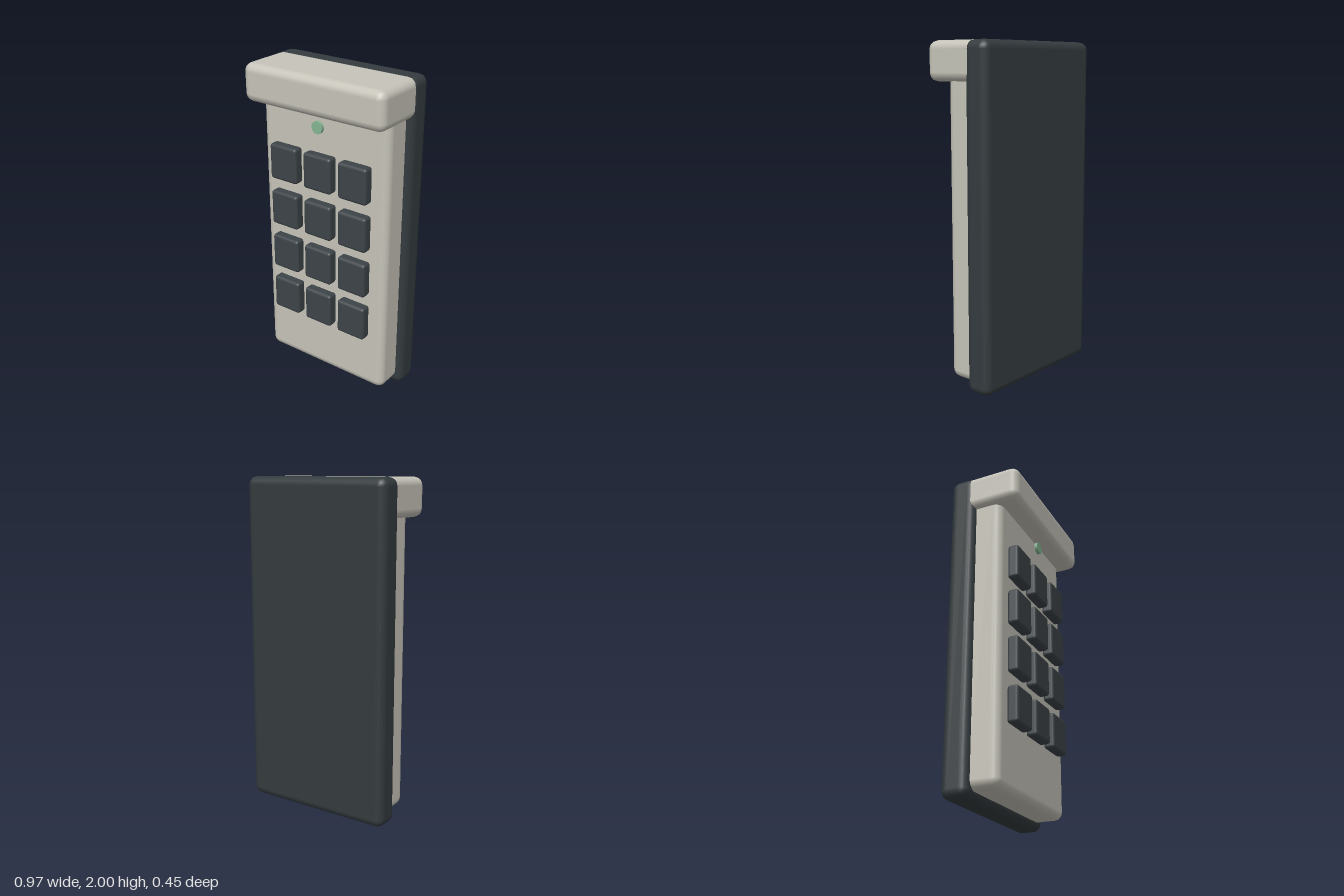
import * as THREE from 'three';
import { RoundedBoxGeometry } from 'three/addons/geometries/RoundedBoxGeometry.js';

const paint = (color) => new THREE.MeshStandardMaterial({ color });

// Rounded block given by its extents on each axis
function block(name, [x0, x1], [y0, y1], [z0, z1], radius, material) {
  const geometry = new RoundedBoxGeometry(x1 - x0, y1 - y0, z1 - z0, 2, radius);
  const mesh = new THREE.Mesh(geometry, material);
  mesh.name = name;
  mesh.position.set((x0 + x1) / 2, (y0 + y1) / 2, (z0 + z1) / 2);
  return mesh;
}

export function createModel() {
  const model = new THREE.Group();
  model.name = 'keypad';
  const cream = paint(0xc6c4b9);
  const dark = paint(0x343b3e);
  const keyGrey = paint(0x3d4448);

  // Casing: dark back plate, raised front panel and overhanging hood
  model.add(
    block('backPlate', [-0.483, 0.483], [0, 2], [-0.225, -0.06], 0.05, dark),
    block('frontPanel', [-0.442, 0.442], [0.045, 1.9], [-0.12, 0.1], 0.05, cream),
    block('hood', [-0.478, 0.478], [1.772, 1.999], [-0.14, 0.223], 0.05, cream),
  );

  // Four rows of three keys
  const keys = new THREE.Group();
  keys.name = 'keys';
  for (const y of [1.42, 1.121, 0.823, 0.524]) {
    for (const x of [-0.245, 0, 0.245]) {
      keys.add(block('key', [x - 0.097, x + 0.097], [y - 0.11, y + 0.11], [0.098, 0.167], 0.018, keyGrey));
    }
  }
  model.add(keys);

  // Status light, standing clear of the panel
  const light = new THREE.Mesh(new THREE.CylinderGeometry(0.037, 0.037, 0.018, 16), paint(0x86b592));
  light.name = 'statusLight';
  light.rotation.x = Math.PI / 2;
  light.position.set(0, 1.694, 0.146);
  model.add(light);

  return model;
}
